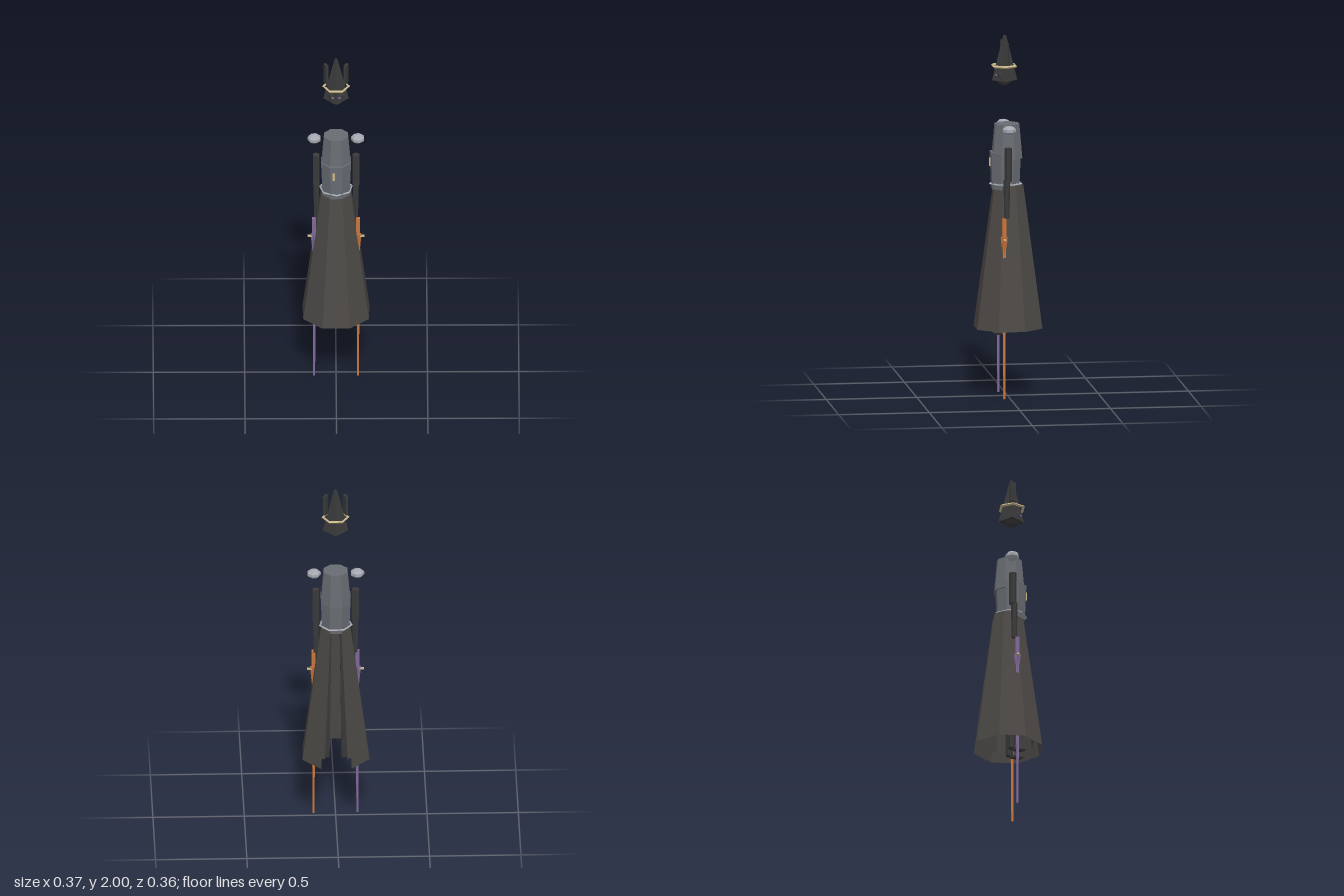
import * as THREE from 'three';

const mat = (name, color, side = THREE.FrontSide) =>
  new THREE.MeshStandardMaterial({ name, color, side, flatShading: true });

export function createModel() {
  const M = {
    cloth: mat('cape cloth', 0x4c4946, THREE.DoubleSide),
    dark: mat('dark leather', 0x3b3a3a),
    armour: mat('grey armour', 0x686c72),
    steel: mat('pale steel', 0xa6a9b2),
    gold: mat('pale gold', 0xc8b68a),
    orange: mat('orange blade', 0xc8743c),
    purple: mat('purple blade', 0x7f6899),
  };
  const model = new THREE.Group();
  model.name = 'floatingSwordsman';

  const add = (name, geo, material, x, y, z, parent = model) => {
    const mesh = new THREE.Mesh(geo, material);
    mesh.name = name;
    mesh.position.set(x, y, z);
    parent.add(mesh);
    return mesh;
  };
  // Tapered prism given by its bottom and top heights
  const prism = (name, material, rTop, rBottom, y0, y1, sides, x, z, turn = 0, parent = model) => {
    const mesh = add(name, new THREE.CylinderGeometry(rTop, rBottom, y1 - y0, sides), material, x, (y0 + y1) / 2, z, parent);
    mesh.rotation.y = turn;
    return mesh;
  };
  const box = (name, material, w, h, d, x, y, z, parent = model) =>
    add(name, new THREE.BoxGeometry(w, h, d), material, x, y, z, parent);
  const ring = (name, material, r, tube, sides, y, z, turn = 0) => {
    const geo = new THREE.TorusGeometry(r, tube, 4, sides).rotateX(Math.PI / 2).rotateY(turn);
    return add(name, geo, material, 0, y, z);
  };

  // Floating head under a pointed hood
  const head = add('head', new THREE.SphereGeometry(0.052, 7, 5), M.dark, 0, 1.772, 0.02);
  head.scale.z = 0.95;
  prism('hood', M.dark, 0.008, 0.07, 1.75, 2.0, 4, 0, 0.015);
  ring('headBand', M.gold, 0.069, 0.008, 6, 1.83, 0.018);
  for (const s of [-1, 1]) {
    const horn = box('hoodFin', M.dark, 0.014, 0.115, 0.034, s * 0.055, 1.907, 0.016);
    horn.rotation.y = s * -0.45;
    const eye = box('eye', M.purple, 0.014, 0.008, 0.006, s * 0.018, 1.782, 0.066);
    eye.rotation.y = s * 0.35;
  }

  // Torso in two overlapping octagonal sections
  const turn = Math.PI / 8;
  prism('chest', M.armour, 0.071, 0.088, 1.32, 1.51, 8, 0, 0.003, turn);
  prism('abdomen', M.armour, 0.089, 0.08, 1.15, 1.355, 8, 0, 0.012, turn);
  ring('belt', M.steel, 0.089, 0.006, 7, 1.178, 0.008, 0.25);
  box('chestPin', M.gold, 0.014, 0.045, 0.008, -0.012, 1.297, 0.096);

  // Flared cape, open at the back, with a shorter lining
  const robe = (name, rTop, rBottom, y0, y1, z) => {
    const arc = 5.4;
    const geo = new THREE.CylinderGeometry(rTop, rBottom, y1 - y0, 7, 1, true, -arc / 2, arc);
    add(name, geo, M.cloth, 0, (y0 + y1) / 2, z);
  };
  robe('cape', 0.086, 0.196, 0.38, 1.175, -0.005);
  robe('capeLining', 0.07, 0.145, 0.41, 1.16, 0);

  // Long sword hanging point down
  const sword = (name, material, x) => {
    const g = new THREE.Group();
    g.name = name;
    g.position.set(x, 0, 0.034);
    model.add(g);
    prism('grip', material, 0.016, 0.016, 0.87, 1.0, 4, 0, 0, Math.PI / 4, g);
    prism('bladeCollar', material, 0.02, 0.004, 0.74, 0.9, 4, 0, 0, 0, g);
    prism('blade', material, 0.013, 0.008, 0, 0.88, 4, 0, 0, Math.PI / 4, g);
    box('guard', M.gold, 0.07, 0.008, 0.014, 0, 0.887, 0, g);
  };
  sword('leftSword', M.orange, 0.12);
  sword('rightSword', M.purple, -0.12);

  for (const s of [-1, 1]) {
    // Shoulder, arm, leg and foot on each side
    const pad = add('shoulderPad', new THREE.SphereGeometry(0.04, 7, 5), M.steel, s * 0.119, 1.49, 0.006);
    pad.scale.y = 0.62;
    prism('upperArm', M.dark, 0.021, 0.021, 1.205, 1.39, 6, s * 0.109, 0.01);
    prism('forearm', M.dark, 0.019, 0.014, 1.0, 1.215, 6, s * 0.108, 0.018);
    prism('leg', M.dark, 0.032, 0.02, 0.36, 1.16, 6, s * 0.05, 0.01);
    const foot = add('foot', new THREE.SphereGeometry(0.018, 6, 4), M.dark, s * 0.05, 0.357, 0.048);
    foot.scale.set(1, 0.75, 2.5);
  }
  return model;
}
